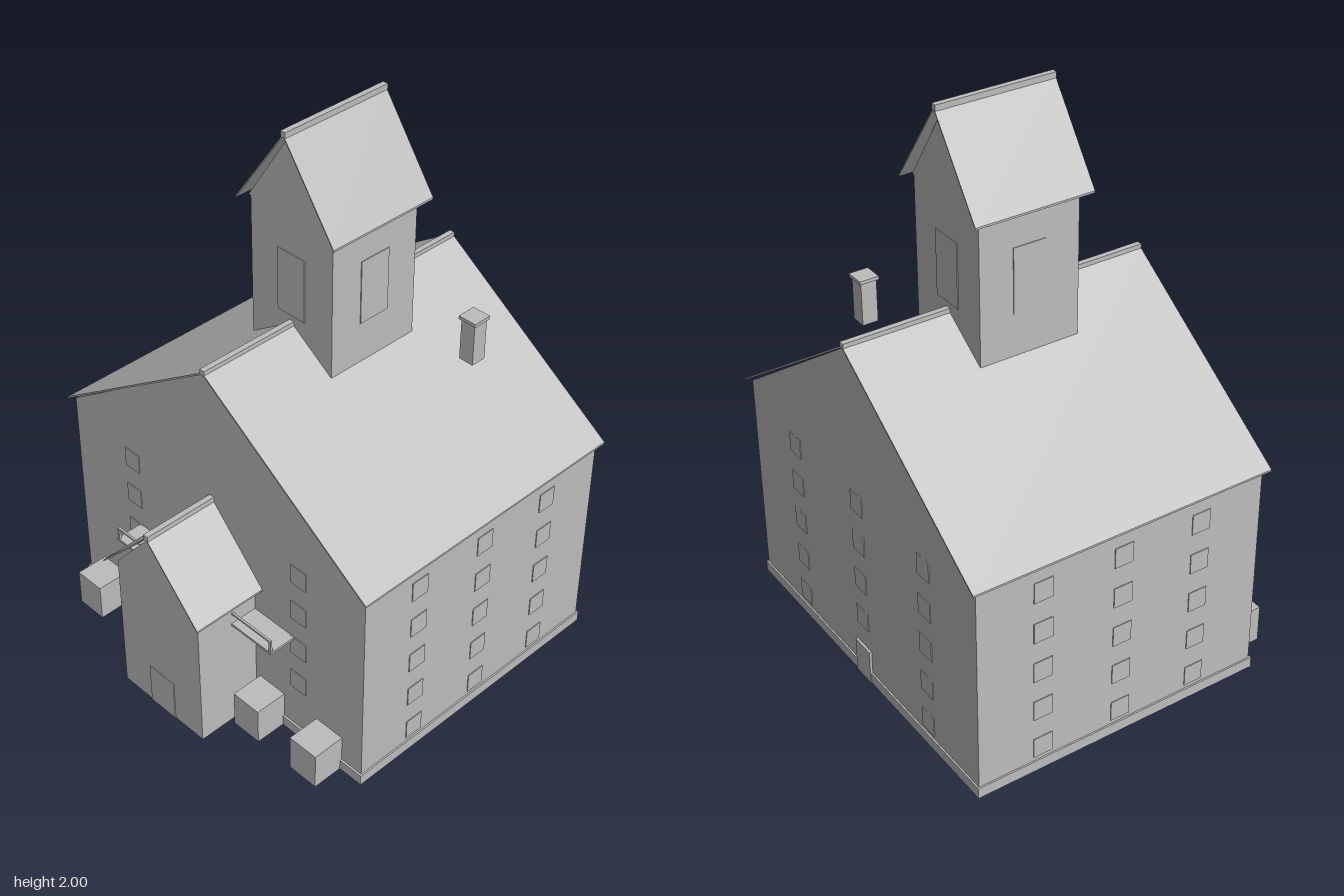
import * as THREE from 'three';

export function createModel() {
  const model = new THREE.Group();
  model.name = 'church';
  const grey = new THREE.MeshStandardMaterial({ color: 0xbcbcbc });
  grey.name = 'plain grey';

  const add = (name, geometry) => {
    const mesh = new THREE.Mesh(geometry, grey);
    mesh.name = name;
    model.add(mesh);
    return mesh;
  };

  // Box given by its extents
  const box = (name, x0, x1, y0, y1, z0, z1) => {
    const mesh = add(name, new THREE.BoxGeometry(x1 - x0, y1 - y0, z1 - z0));
    mesh.position.set((x0 + x1) / 2, (y0 + y1) / 2, (z0 + z1) / 2);
  };

  // Outline in x and y, extruded from z0 to z1
  const prism = (name, points, z0, z1) => {
    const shape = new THREE.Shape(points.map(([x, y]) => new THREE.Vector2(x, y)));
    const geometry = new THREE.ExtrudeGeometry(shape, { depth: z1 - z0, bevelEnabled: false });
    add(name, geometry.translate(0, 0, z0));
  };

  // Thin two-sided roof with a square ridge cap
  const roof = (name, half, eave, ridge, z0, z1) => {
    const t = 0.007;
    prism(name, [[-half, eave], [-half, eave - t], [0, ridge - t], [half, eave - t], [half, eave], [0, ridge]], z0, z1);
    box(name + 'RidgeCap', -0.01, 0.01, ridge - 0.011, ridge + 0.009, z0, z1);
  };

  // Main hall
  prism('hall', [[-0.692, 0], [0.692, 0], [0.692, 0.81], [0, 1.293], [-0.692, 0.81]], -0.67, 0.412);
  box('plinth', -0.698, 0.698, 0, 0.04, -0.676, 0.42);
  roof('hallRoof', 0.712, 0.814, 1.301, -0.69, 0.432);

  // Bell tower
  box('tower', -0.18, 0.18, 1.18, 1.69, -0.31, 0.055);
  prism('towerGable', [[-0.19, 1.69], [0.19, 1.69], [0, 1.98]], -0.31, 0.055);
  roof('towerRoof', 0.215, 1.687, 1.991, -0.343, 0.087);

  // Entrance porch
  box('porch', -0.196, 0.196, 0, 0.545, 0.405, 0.658);
  prism('porchGable', [[-0.196, 0.545], [0.196, 0.545], [0, 0.78]], 0.405, 0.658);
  roof('porchRoof', 0.232, 0.545, 0.789, 0.405, 0.69);

  // Chimney
  box('chimney', 0.333, 0.39, 1.12, 1.275, -0.43, -0.373);
  box('chimneyCap', 0.326, 0.396, 1.275, 1.287, -0.437, -0.367);

  // Planters and balconies on each side of the porch
  for (const s of [-1, 1]) {
    const sideBox = (name, a, b, ...rest) => box(name, Math.min(s * a, s * b), Math.max(s * a, s * b), ...rest);
    sideBox('innerPlanter', 0.215, 0.332, 0, 0.14, 0.412, 0.532);
    sideBox('outerPlanter', 0.484, 0.602, 0, 0.14, 0.412, 0.532);
    sideBox('balconyFloor', 0.19, 0.38, 0.428, 0.437, 0.405, 0.515);
    sideBox('balconyRail', 0.19, 0.378, 0.477, 0.484, 0.506, 0.514);
    sideBox('balconyPost', 0.37, 0.378, 0.437, 0.477, 0.506, 0.514);
  }

  // Window plates in five rows
  const e = 0.003;
  for (let row = 0; row < 5; row++) {
    const y = 0.055 + row * 0.154, top = y + 0.075;
    for (const x of [-0.4, 0, 0.4]) {
      if (x !== 0 && row !== 0) box('frontWindow', x - 0.035, x + 0.035, y, top, 0.41, 0.412 + e);
      if (x !== 0 || row !== 0) box('backWindow', x - 0.035, x + 0.035, y, top, -0.67 - e, -0.668);
    }
    for (const z of [-0.43, -0.13, 0.17]) {
      box('leftWindow', 0.69, 0.692 + e, y, top, z - 0.035, z + 0.035);
      box('rightWindow', -0.692 - e, -0.69, y, top, z - 0.035, z + 0.035);
    }
  }

  // Doors
  box('frontDoor', -0.06, 0.06, 0, 0.16, 0.656, 0.658 + e);
  box('backDoor', -0.045, 0.045, 0, 0.13, -0.679, -0.67);

  // Belfry openings
  box('frontLouver', -0.06, 0.06, 1.33, 1.56, 0.05, 0.055 + e);
  box('backLouver', -0.06, 0.06, 1.33, 1.56, -0.31 - e, -0.305);
  box('leftLouver', 0.175, 0.18 + e, 1.33, 1.56, -0.188, -0.068);
  box('rightLouver', -0.18 - e, -0.175, 1.33, 1.56, -0.188, -0.068);

  return model;
}
